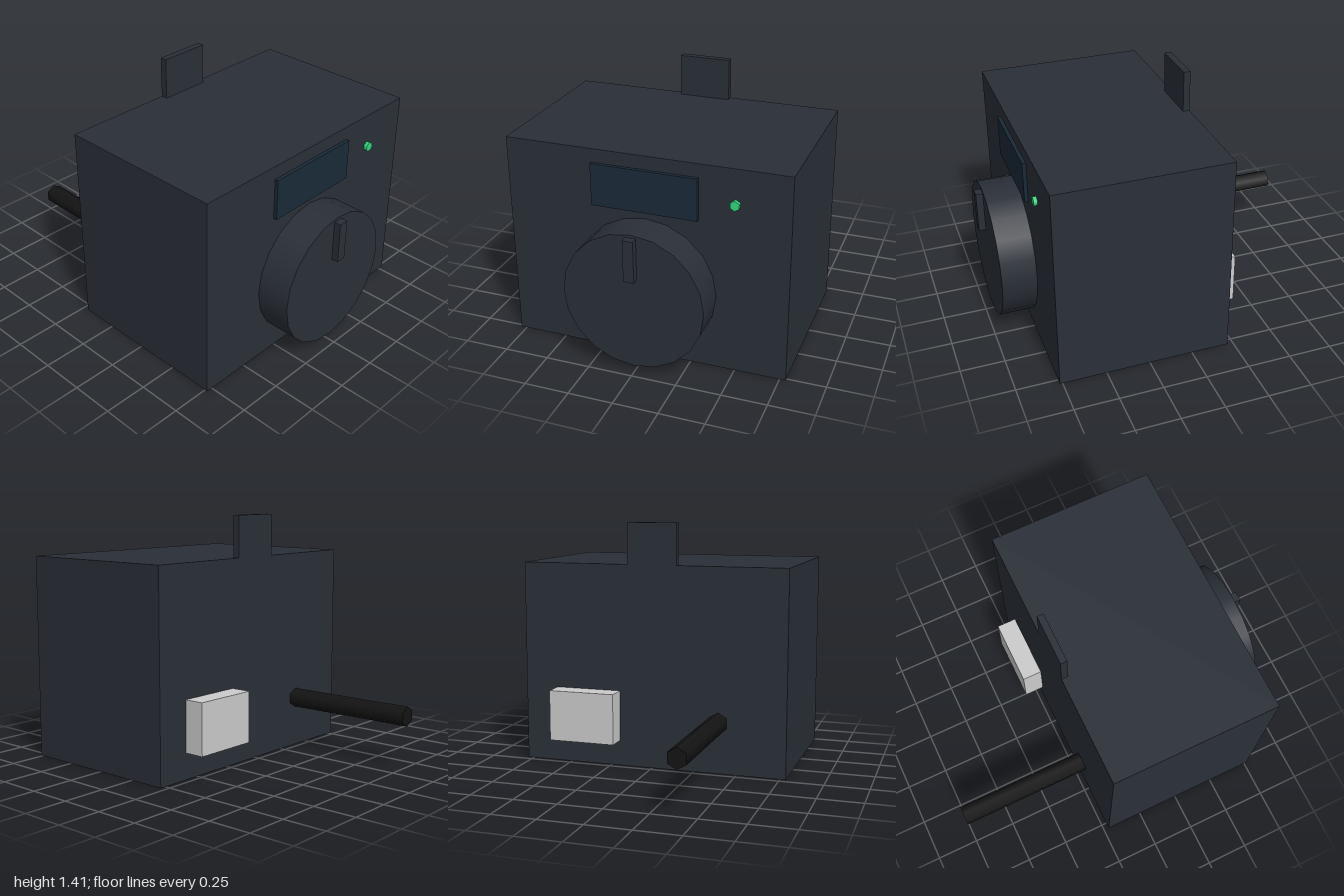
import * as THREE from 'three';

const mat = (color) => new THREE.MeshStandardMaterial({ color });

export function createModel() {
  const model = new THREE.Group();
  const casing = mat(0x2a2f38);
  const FRONT = 0.765, BACK = -0.217;

  const add = (name, geometry, material, x, y, z) => {
    const mesh = new THREE.Mesh(geometry, material);
    mesh.name = name;
    mesh.position.set(x, y, z);
    model.add(mesh);
  };
  // box given by its centre and width in x, and its extents in y and z
  const box = (name, material, x, width, y0, y1, z0, z1) =>
    add(name, new THREE.BoxGeometry(width, y1 - y0, z1 - z0), material, x, (y0 + y1) / 2, (z0 + z1) / 2);
  // cylinder lying along z
  const rod = (name, material, x, y, radius, z0, z1, sides) =>
    add(name, new THREE.CylinderGeometry(radius, radius, z1 - z0, sides).rotateX(Math.PI / 2), material, x, y, (z0 + z1) / 2);

  // housing with its hanging tab, flush with the back
  box('housing', casing, 0, 1.567, 0, 1.176, BACK, FRONT);
  box('hangingTab', casing, 0, 0.294, 1.176, 1.413, BACK, -0.178);

  // front controls
  box('display', mat(0x1a2a38), 0, 0.587, 0.864, 1.1, FRONT, 0.785);
  rod('indicatorLight', mat(0x33d980), 0.49, 0.982, 0.028, FRONT, 0.785, 6);
  rod('dial', casing, 0, 0.432, 0.392, FRONT, 0.961, 20);
  box('dialPointer', casing, 0, 0.058, 0.57, 0.806, 0.961, 1);

  // rear connector and cable
  box('rearConnector', mat(0xcccccc), 0.391, 0.391, 0.149, 0.443, -0.334, BACK);
  rod('cable', mat(0x141414), -0.392, 0.295, 0.058, -1, BACK, 6);

  return model;
}
